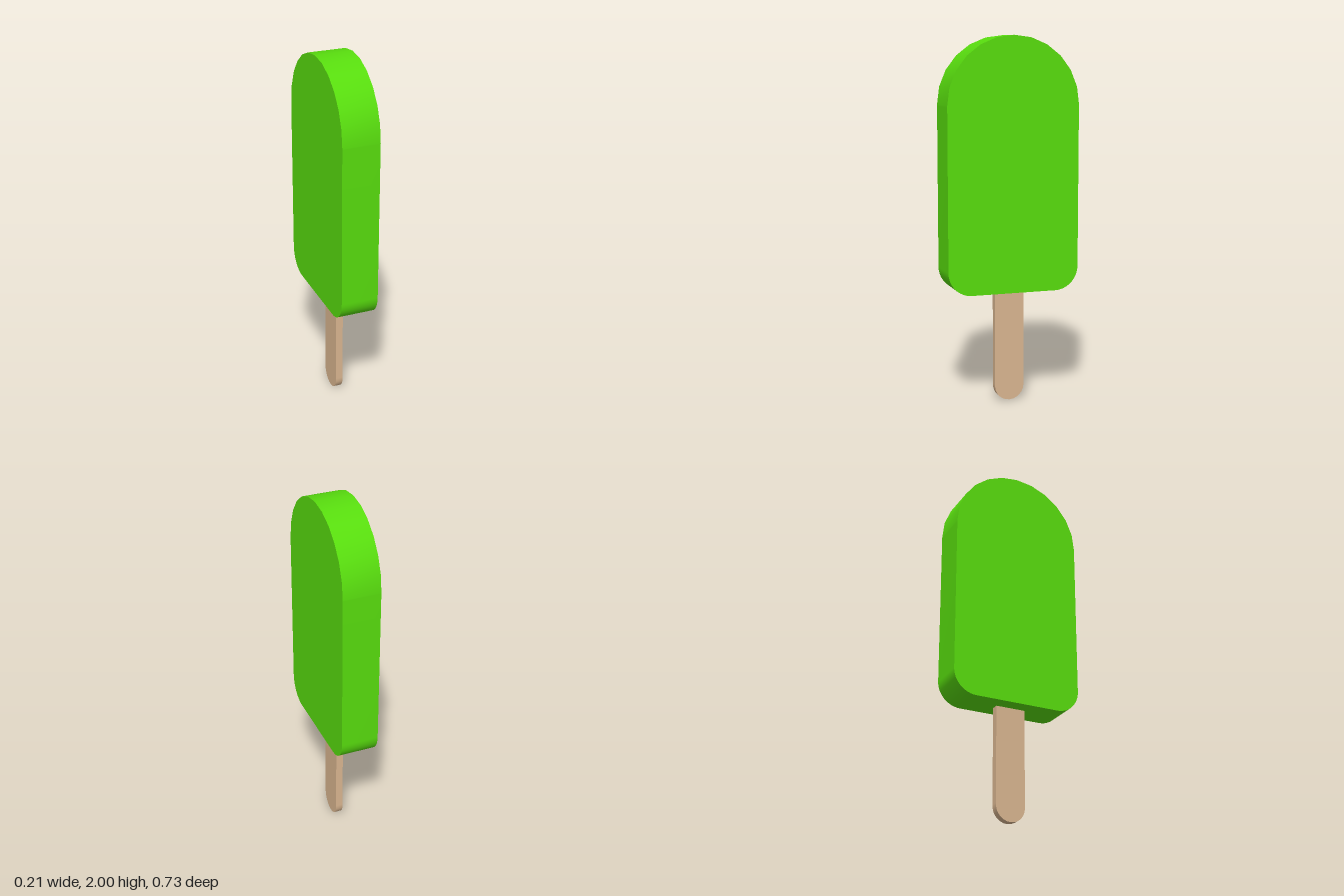
import * as THREE from 'three';
import { toCreasedNormals } from 'three/addons/utils/BufferGeometryUtils.js';

// Extrude an upright outline (drawn in the z-y plane) to a slab centred on x = 0.
function slab(name, shape, thickness, color) {
  const raw = new THREE.ExtrudeGeometry(shape, { depth: thickness, bevelEnabled: false, curveSegments: 6 });
  raw.translate(0, 0, -thickness / 2);
  raw.rotateY(Math.PI / 2);
  const mesh = new THREE.Mesh(toCreasedNormals(raw, 0.5), new THREE.MeshStandardMaterial({ color }));
  mesh.name = name;
  return mesh;
}

export function createModel() {
  const group = new THREE.Group();
  group.name = 'icePop';

  // Frozen body: half-round top, rounded bottom corners
  const w = 0.367, bottom = 0.62, r = 0.13, shoulder = 2 - w, e = 0.008;
  const body = new THREE.Shape();
  body.moveTo(-w + r, bottom);
  body.lineTo(w - r, bottom);
  body.absarc(w - r, bottom + r, r, -Math.PI / 2, 0, false);
  body.lineTo(w, bottom + r + e); // keeps the long wall evenly shaded
  body.lineTo(w, shoulder - e);
  body.absarc(0, shoulder, w, 0, Math.PI, false);
  body.lineTo(-w, shoulder - e);
  body.lineTo(-w, bottom + r + e);
  body.absarc(-w + r, bottom + r, r, Math.PI, Math.PI * 1.5, false);
  group.add(slab('iceBody', body, 0.206, 0x58dd0e));

  // Wooden stick with a rounded lower end, its top set into the body
  const s = 0.083, top = 0.7;
  const stick = new THREE.Shape();
  stick.moveTo(s, top);
  stick.lineTo(-s, top);
  stick.lineTo(-s, s + e);
  stick.absarc(0, s, s, Math.PI, Math.PI * 2, false);
  stick.lineTo(s, s + e);
  group.add(slab('stick', stick, 0.04, 0xdab690));

  return group;
}
